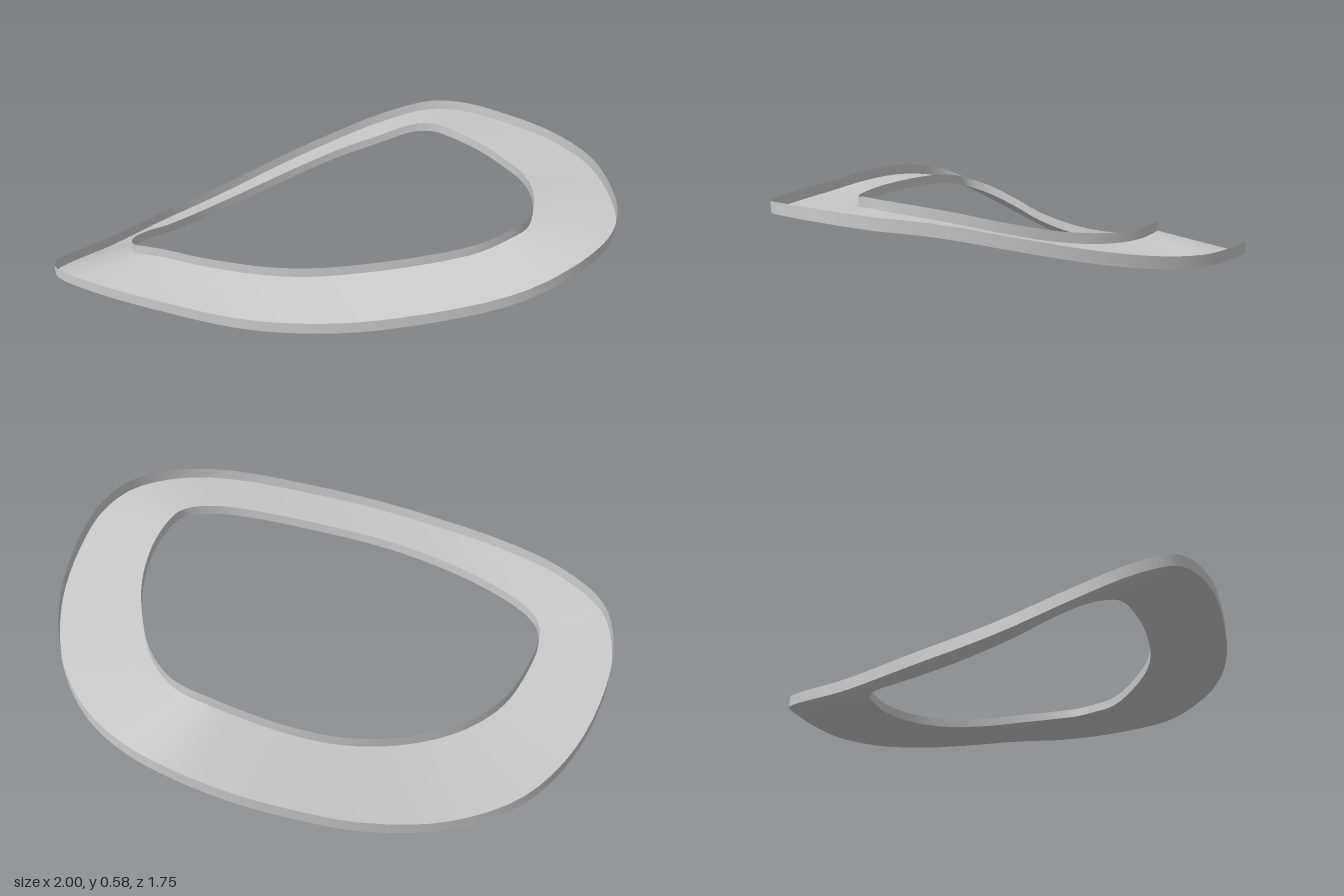
import * as THREE from 'three';
import { mergeGeometries } from 'three/addons/utils/BufferGeometryUtils.js';

const OUTER_RIM = 0.041;
const INNER_RIM = 0.036;
const SEGMENTS = 100;

// Underside stations around the ring: outer [x, y, z], inner [x, y, z]
const STATIONS = [
  [[-0.10, 0.022, -0.875], [-0.08, 0.170, -0.587]],
  [[0.20, 0.100, -0.85], [0.13, 0.215, -0.573]],
  [[0.42, 0.180, -0.79], [0.30, 0.270, -0.53]],
  [[0.62, 0.260, -0.71], [0.46, 0.332, -0.455]],
  [[0.80, 0.332, -0.59], [0.58, 0.384, -0.385]],
  [[0.90, 0.354, -0.46], [0.64, 0.396, -0.325]],
  [[0.97, 0.366, -0.29], [0.68, 0.394, -0.24]],
  [[1.00, 0.395, -0.08], [0.705, 0.402, -0.09]],
  [[0.98, 0.432, 0.12], [0.69, 0.425, 0.08]],
  [[0.92, 0.475, 0.32], [0.65, 0.460, 0.24]],
  [[0.80, 0.520, 0.55], [0.57, 0.497, 0.40]],
  [[0.69, 0.535, 0.71], [0.47, 0.517, 0.525]],
  [[0.55, 0.540, 0.82], [0.41, 0.520, 0.57]],
  [[0.35, 0.522, 0.87], [0.32, 0.512, 0.582]],
  [[0.13, 0.485, 0.85], [0.18, 0.485, 0.56]],
  [[-0.20, 0.424, 0.70], [-0.20, 0.417, 0.36]],
  [[-0.40, 0.392, 0.57], [-0.38, 0.389, 0.22]],
  [[-0.60, 0.367, 0.39], [-0.55, 0.364, 0.02]],
  [[-0.80, 0.355, 0.14], [-0.65, 0.342, -0.14]],
  [[-0.93, 0.335, -0.07], [-0.692, 0.322, -0.22]],
  [[-1.00, 0.290, -0.28], [-0.711, 0.298, -0.285]],
  [[-0.966, 0.220, -0.43], [-0.685, 0.270, -0.36]],
  [[-0.86, 0.135, -0.57], [-0.60, 0.225, -0.44]],
  [[-0.66, 0.040, -0.725], [-0.48, 0.172, -0.513]],
  [[-0.40, 0.001, -0.84], [-0.30, 0.152, -0.567]],
];

// Closed smooth loop through one edge of the ring
function edgeLoop(side) {
  const curve = new THREE.CatmullRomCurve3(
    STATIONS.map((s) => new THREE.Vector3(...s[side])), true, 'centripetal');
  return Array.from({ length: SEGMENTS }, (_, i) => curve.getPoint(i / SEGMENTS));
}

// Closed smooth band joining two loops
function band(a, b) {
  const n = a.length;
  const index = [];
  for (let i = 0; i < n; i++) {
    const j = (i + 1) % n;
    index.push(i, n + i, n + j, i, n + j, j);
  }
  const geometry = new THREE.BufferGeometry().setFromPoints([...a, ...b]);
  geometry.setIndex(index);
  geometry.computeVertexNormals();
  return geometry;
}

export function createModel() {
  const group = new THREE.Group();
  group.name = 'warpedRing';

  const raise = (loop, height) => loop.map((p) => p.clone().setY(p.y + height));
  const outer = edgeLoop(0);
  const inner = edgeLoop(1);

  // Open channel: curved floor with a low rim along each edge
  const geometry = mergeGeometries([
    band(inner, outer),
    band(outer, raise(outer, OUTER_RIM)),
    band(raise(inner, INNER_RIM), inner),
  ]);
  const ring = new THREE.Mesh(geometry, new THREE.MeshStandardMaterial({
    color: 0xcccccc, side: THREE.DoubleSide,
  }));
  ring.name = 'curvedRingChannel';
  group.add(ring);
  return group;
}
